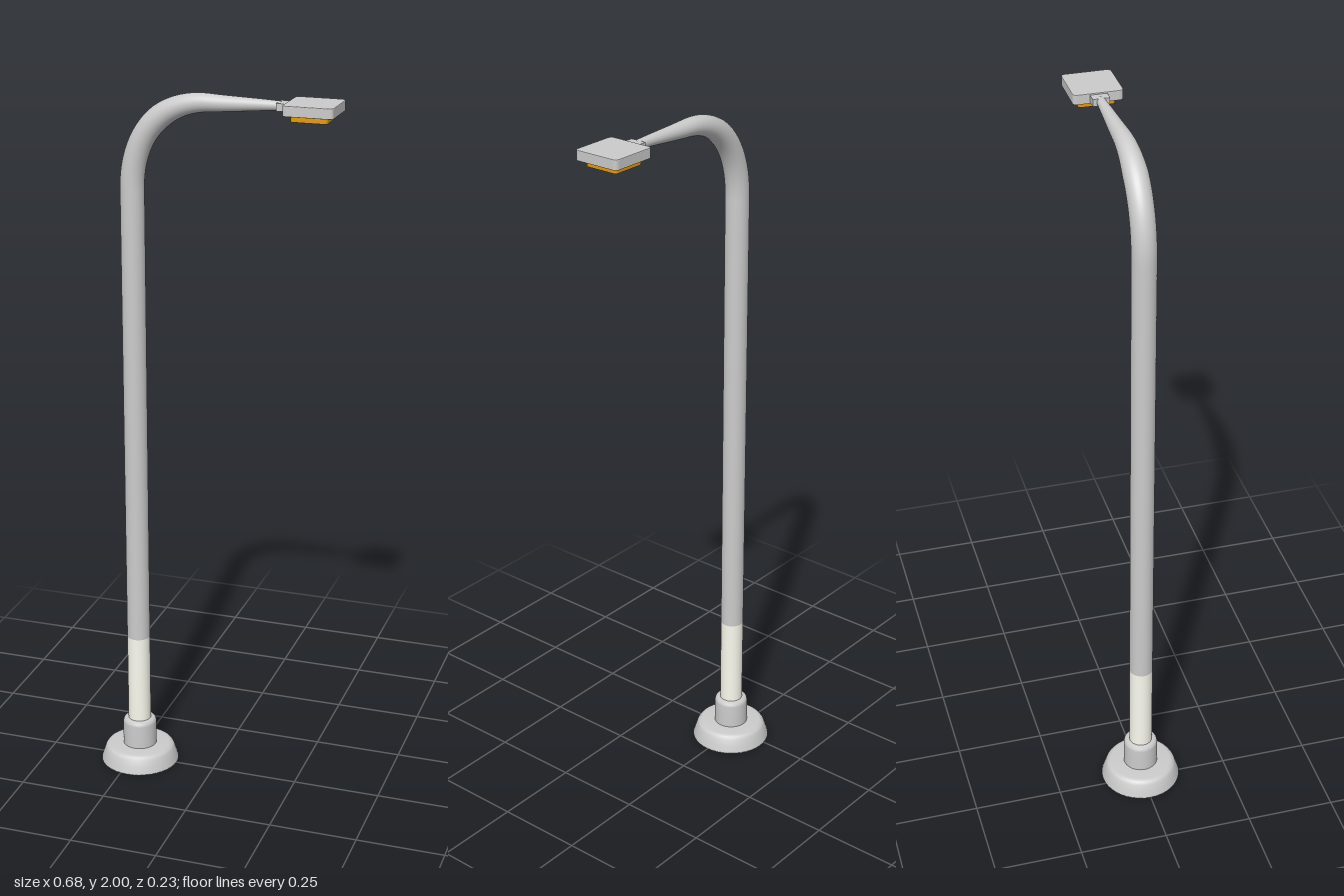
import * as THREE from 'three';

const POLE_X = -0.228;
const grey = new THREE.MeshStandardMaterial({ color: 0xcccccc });
const pale = new THREE.MeshStandardMaterial({ color: 0xfbfbf0 });
const amber = new THREE.MeshStandardMaterial({ color: 0xe69a00 });

function addMesh(parent, name, geometry, material, x = 0, y = 0, z = 0) {
  const mesh = new THREE.Mesh(geometry, material);
  mesh.name = name;
  mesh.position.set(x, y, z);
  parent.add(mesh);
  return mesh;
}

function lathe(points) {
  return new THREE.LatheGeometry(points.map(([r, y]) => new THREE.Vector2(r, y)), 40);
}

// Flat slab with rounded corners in plan, lying from y = 0 up to height
function roundedSlab(width, depth, height, r, bevel) {
  const w = width / 2 - bevel, d = depth / 2 - bevel;
  const s = new THREE.Shape();
  s.moveTo(-w + r, -d);
  s.lineTo(w - r, -d);
  s.quadraticCurveTo(w, -d, w, -d + r);
  s.lineTo(w, d - r);
  s.quadraticCurveTo(w, d, w - r, d);
  s.lineTo(-w + r, d);
  s.quadraticCurveTo(-w, d, -w, d - r);
  s.lineTo(-w, -d + r);
  s.quadraticCurveTo(-w, -d, -w + r, -d);
  const geometry = new THREE.ExtrudeGeometry(s, {
    depth: height - 2 * bevel, bevelSize: bevel, bevelThickness: bevel, bevelSegments: 2, curveSegments: 6,
  });
  geometry.rotateX(-Math.PI / 2);
  geometry.translate(0, bevel, 0);
  return geometry;
}

// Tube whose radius follows radiusAt(t) along the curve
function taperedTube(curve, segments, sides, radiusAt) {
  const geometry = new THREE.TubeGeometry(curve, segments, 1, sides);
  const pos = geometry.attributes.position;
  const v = new THREE.Vector3(), c = new THREE.Vector3();
  for (let i = 0; i <= segments; i++) {
    curve.getPointAt(i / segments, c);
    for (let j = 0; j <= sides; j++) {
      const k = i * (sides + 1) + j;
      v.fromBufferAttribute(pos, k).sub(c).multiplyScalar(radiusAt(i / segments)).add(c);
      pos.setXYZ(k, v.x, v.y, v.z);
    }
  }
  return geometry;
}

export function createModel() {
  const model = new THREE.Group();
  model.name = 'streetLamp';

  // Foot and collar
  addMesh(model, 'base', lathe([
    [0, 0], [0.114, 0], [0.114, 0.003], [0.108, 0.022], [0.102, 0.04], [0.096, 0.048], [0.086, 0.052], [0.045, 0.053],
  ]), grey, POLE_X);
  addMesh(model, 'collar', lathe([
    [0.049, 0.05], [0.049, 0.122], [0.047, 0.13], [0.042, 0.135], [0.032, 0.136],
  ]), grey, POLE_X);

  // Post with pale lower sleeve
  addMesh(model, 'lowerPost', new THREE.CylinderGeometry(0.033, 0.033, 0.28, 32, 1, true), pale, POLE_X, 0.26);
  addMesh(model, 'upperPost', new THREE.CylinderGeometry(0.033, 0.033, 1.33, 32, 1, true), grey, POLE_X, 1.065);

  // Curved arm, thinning towards the head
  const path = new THREE.CurvePath();
  const p = (x, y) => new THREE.Vector3(x, y, 0);
  path.add(new THREE.CubicBezierCurve3(p(POLE_X, 1.73), p(POLE_X, 1.87), p(-0.15, 1.973), p(-0.01, 1.973)));
  path.add(new THREE.CubicBezierCurve3(p(-0.01, 1.973), p(0.05, 1.973), p(0.12, 1.977), p(0.187, 1.977)));
  addMesh(model, 'arm', taperedTube(path, 48, 32, (t) =>
    t < 0.4 ? 0.033 : THREE.MathUtils.lerp(0.033, 0.012, (t - 0.4) / 0.6)), grey);

  // Lamp head on its bracket, with the light panel below
  const head = new THREE.Group();
  head.name = 'lampHead';
  head.position.x = 0.273;
  model.add(head);
  addMesh(head, 'bracket', new THREE.BoxGeometry(0.035, 0.02, 0.046), grey, -0.078, 1.977);
  addMesh(head, 'housing', roundedSlab(0.136, 0.136, 0.028, 0.011, 0.002), grey, 0, 1.963);
  addMesh(head, 'lightPanel', roundedSlab(0.1, 0.1, 0.02, 0.008, 0.002), amber, -0.001, 1.946);
  return model;
}
